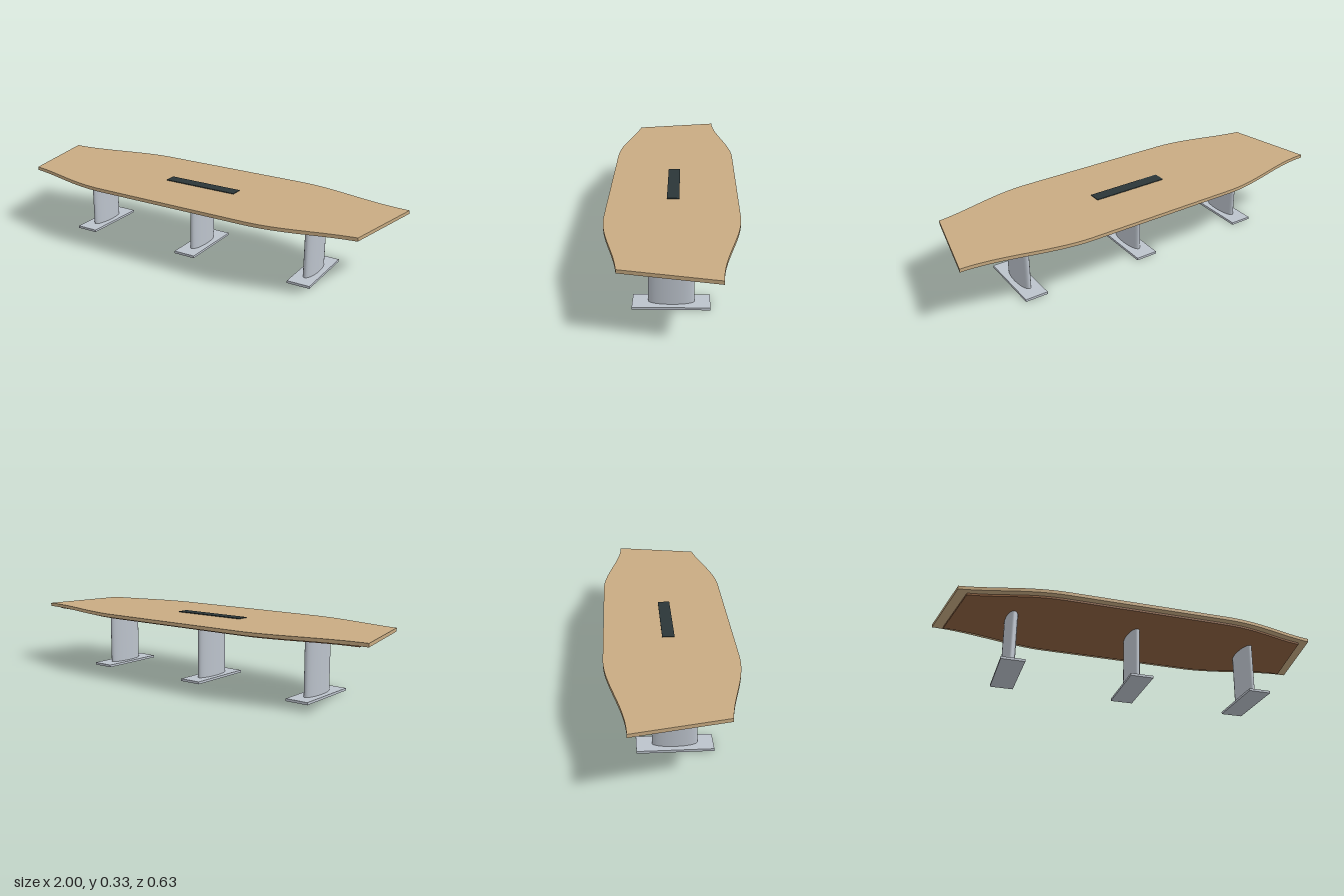
import * as THREE from 'three';
import { toCreasedNormals } from 'three/addons/utils/BufferGeometryUtils.js';

const material = (name, color) => Object.assign(new THREE.MeshStandardMaterial({ color }), { name });

// Boat-shaped slab: S-curved long sides, ends slanting in towards the front.
function slab(half, corner, backX, frontX, y, height) {
  const s = new THREE.Shape();
  const flat = 0.4, reach = 0.2;
  s.moveTo(-flat, -half);
  s.lineTo(flat, -half);
  s.bezierCurveTo(flat + reach, -half, frontX - 0.18, -corner - 0.025, frontX, -corner);
  s.lineTo(backX, corner);
  s.bezierCurveTo(backX - reach, corner, flat + reach, half, flat, half);
  s.lineTo(-flat, half);
  s.bezierCurveTo(-flat - reach, half, -backX + reach, corner, -backX, corner);
  s.lineTo(-frontX, -corner);
  s.bezierCurveTo(-frontX + 0.18, -corner - 0.025, -flat - reach, -half, -flat, -half);
  const g = new THREE.ExtrudeGeometry(s, { depth: height, bevelEnabled: false, curveSegments: 20 });
  g.rotateX(-Math.PI / 2).translate(0, y, 0);
  return toCreasedNormals(g, 0.5);
}

export function createModel() {
  const wood = material('tan wood', 0xc8ab82);
  const darkWood = material('brown wood', 0x8f6342);
  const metal = material('grey metal', 0xbcc3cc);
  const black = material('dark cover', 0x2b3638);

  const table = new THREE.Group();
  table.name = 'conferenceTable';
  const add = (name, geometry, mat, parent = table) => {
    const mesh = new THREE.Mesh(geometry, mat);
    mesh.name = name;
    parent.add(mesh);
    return mesh;
  };

  // Top, recessed sub-top and cable cover
  add('tableTop', slab(0.314, 0.216, 1, 0.915, 0.306, 0.017), wood);
  add('subTop', slab(0.279, 0.19, 0.945, 0.87, 0.296, 0.01), darkWood);
  add('cableCover', new THREE.BoxGeometry(0.395, 0.004, 0.06), black).position.y = 0.3245;

  // Three pedestals: oval column on a flat foot plate
  for (const x of [-0.63, 0, 0.63]) {
    const pedestal = new THREE.Group();
    pedestal.name = 'pedestal';
    pedestal.position.x = x;
    table.add(pedestal);
    add('footPlate', new THREE.BoxGeometry(0.115, 0.012, 0.348), metal, pedestal).position.y = 0.006;
    const column = new THREE.CylinderGeometry(1, 1, 0.284, 48).scale(0.03, 1, 0.103);
    add('column', column, metal, pedestal).position.y = 0.154;
  }
  return table;
}
